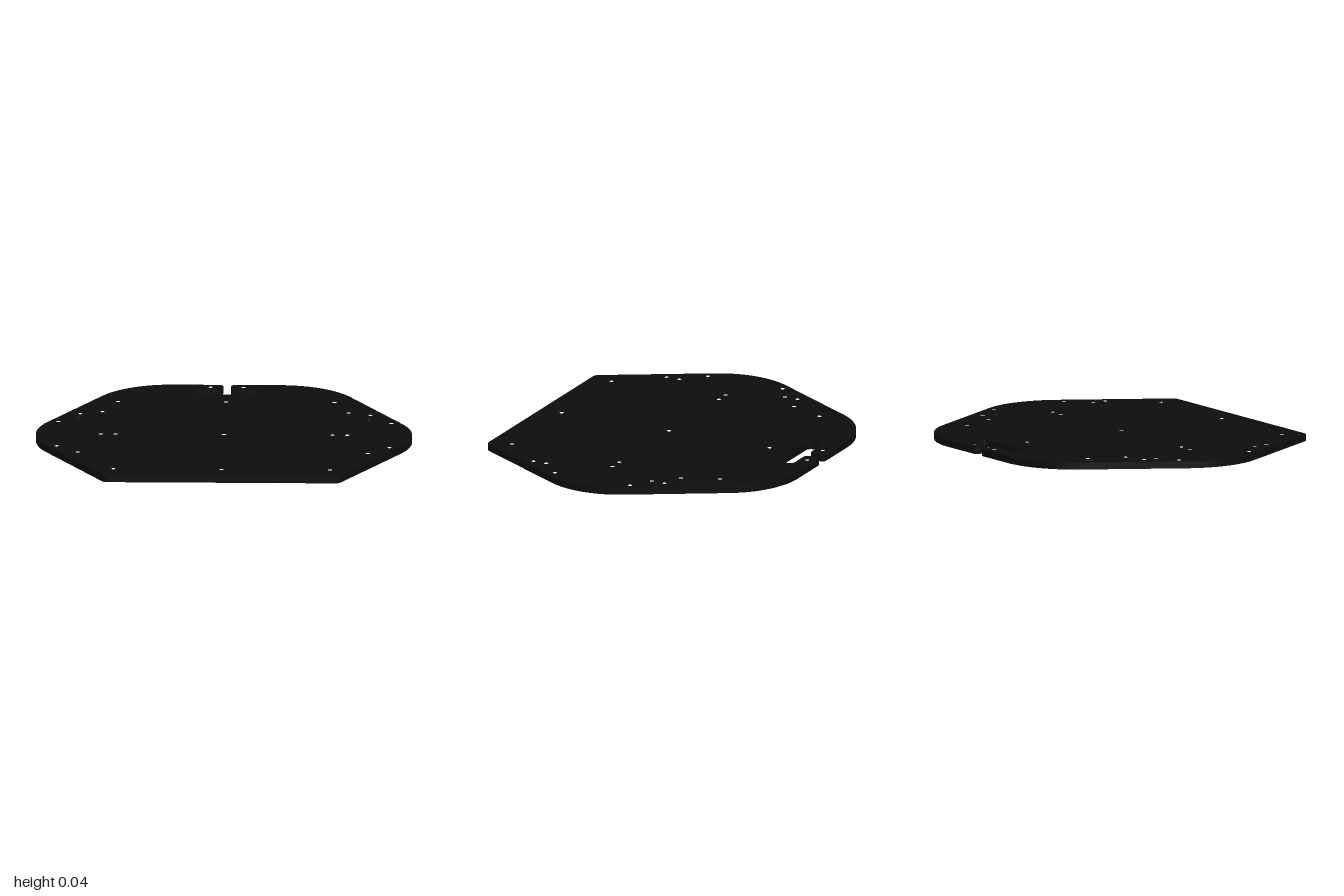
import * as THREE from 'three';
import { toCreasedNormals } from 'three/addons/utils/BufferGeometryUtils.js';

const THICKNESS = 0.037;
const HOLE_RADIUS = 0.011;

// Half outline on the +x side, front to back: [x, z, corner radius]
const HALF_OUTLINE = [
  [0.625, 0.842, 0.03],
  [1.067, 0.076, 0.43],
  [0.536, -0.842, 0.43],
  [0.021, -0.842, 0.025], // neck of the T-shaped slot
  [0.021, -0.754, 0.025],
  [0.177, -0.754, 0.028], // wide part of the slot
  [0.177, -0.668, 0.028],
];

// Screw holes as [x, z]; those off the centre line are mirrored
const HOLES = [
  [0, -0.527], [0, 0.075], [0, 0.717],
  [0.576, -0.527], [0.576, 0.075], [0.576, 0.717],
  [0.655, -0.335], [0.655, 0.075],
  [0.771, -0.295], [0.771, -0.22], [0.771, 0.412], [0.771, 0.488],
  [0.885, -0.148], [0.885, 0.3],
  [0.088, -0.797],
];

// Closed shape whose corners are rounded by tangent arcs
function roundedShape(corners) {
  const shape = new THREE.Shape();
  const n = corners.length;
  corners.forEach(([x, z, r], i) => {
    const p = new THREE.Vector2(x, z);
    const [px, pz] = corners[(i + n - 1) % n];
    const [nx, nz] = corners[(i + 1) % n];
    const u = new THREE.Vector2(px, pz).sub(p).normalize();
    const v = new THREE.Vector2(nx, nz).sub(p).normalize();
    const half = Math.acos(u.dot(v)) / 2;
    const reach = r / Math.tan(half);
    const centre = u.clone().add(v).normalize().multiplyScalar(r / Math.sin(half)).add(p);
    const a = u.clone().multiplyScalar(reach).add(p).sub(centre);
    const b = v.clone().multiplyScalar(reach).add(p).sub(centre);
    shape.absarc(centre.x, centre.y, r, a.angle(), b.angle(), a.cross(b) < 0);
  });
  shape.closePath();
  return shape;
}

export function createModel() {
  const group = new THREE.Group();
  group.name = 'mountingPlate';

  const black = new THREE.MeshStandardMaterial({ color: 0x0d0d0d });
  black.name = 'black';

  // Symmetric outline including the slot
  const mirrored = HALF_OUTLINE.map(([x, z, r]) => [-x, z, r]).reverse();
  const shape = roundedShape([...HALF_OUTLINE, ...mirrored]);

  // Screw holes
  for (const [x, z] of HOLES) {
    for (const side of x === 0 ? [1] : [1, -1]) {
      const hole = new THREE.Path();
      hole.absarc(side * x, z, HOLE_RADIUS, 0, Math.PI * 2, true);
      shape.holes.push(hole);
    }
  }

  // Lay the plate flat with its underside on the ground
  const geometry = new THREE.ExtrudeGeometry(shape, {
    depth: THICKNESS, bevelEnabled: false, curveSegments: 12,
  });
  geometry.rotateX(Math.PI / 2);
  geometry.translate(0, THICKNESS, 0);

  const plate = new THREE.Mesh(toCreasedNormals(geometry, Math.PI / 5), black);
  plate.name = 'plate';
  group.add(plate);
  return group;
}
